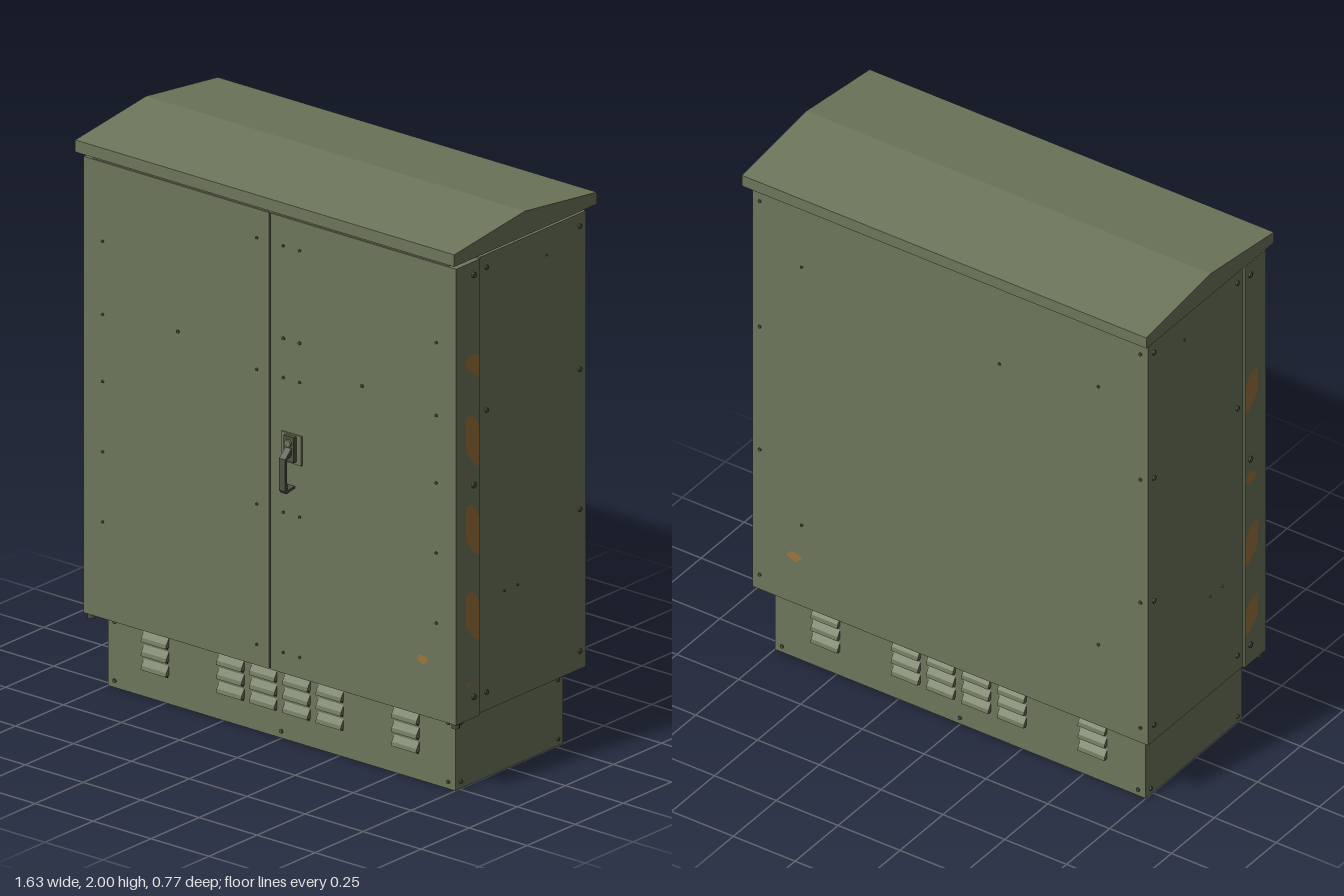
import * as THREE from 'three';

const mat = (name, color) => Object.assign(new THREE.MeshStandardMaterial({ color }), { name });

export function createModel() {
  const green = mat('olive green paint', 0x6d765b);
  const steel = mat('dark olive hardware', 0x4c5140);
  const dark = mat('dark gap', 0x25271e);
  const rust = mat('rust orange', 0xa0743c);

  const cabinet = new THREE.Group();
  cabinet.name = 'cabinet';
  const add = (name, geometry, material, parent = cabinet) => {
    const mesh = new THREE.Mesh(geometry, material);
    mesh.name = name;
    parent.add(mesh);
    return mesh;
  };
  // Box given by its lower and upper bounds
  const box = (name, [x0, x1], [y0, y1], [z0, z1], material = green, parent = cabinet) => {
    const mesh = add(name, new THREE.BoxGeometry(x1 - x0, y1 - y0, z1 - z0), material, parent);
    mesh.position.set((x0 + x1) / 2, (y0 + y1) / 2, (z0 + z1) / 2);
    return mesh;
  };
  // Extrude a (z, y) profile along x, centred on x = 0
  const profileAlongX = (points, width) => {
    const shape = new THREE.Shape(points.map(([z, y]) => new THREE.Vector2(-z, y)));
    return new THREE.ExtrudeGeometry(shape, { depth: width, bevelEnabled: false })
      .translate(0, 0, -width / 2).rotateY(Math.PI / 2);
  };

  // Main shell
  box('plinth', [-0.75, 0.75], [0, 0.27], [-0.29, 0.27]);
  box('body', [-0.8, 0.8], [0.27, 1.895], [-0.348, 0.203]);
  box('neck', [-0.77, 0.77], [1.88, 1.915], [-0.31, 0.325]);
  box('doorGap', [-0.796, 0.796], [0.275, 1.885], [0.2, 0.318], dark);
  add('roof', profileAlongX(
    [[0.358, 1.912], [0.358, 1.955], [-0.01, 2], [-0.383, 1.955], [-0.383, 1.912]], 1.635), green);

  // Double doors, with a hinge foot at each outer lower corner
  for (const s of [-1, 1]) {
    const side = s < 0 ? 'right' : 'left';
    box(side + 'Door', s < 0 ? [-0.804, -0.004] : [0.004, 0.804], [0.265, 1.892], [0.208, 0.332]);
    const foot = add(side + 'HingeFoot', new THREE.CylinderGeometry(0.014, 0.014, 0.025, 10), steel);
    foot.position.set(s * 0.786, 0.259, 0.312);
  }

  // Louvred vents on front and back of the plinth
  const hood = profileAlongX([[-0.002, 0], [0.018, 0], [0.014, 0.014], [-0.002, 0.038]], 0.108);
  const slot = new THREE.BoxGeometry(0.1, 0.008, 0.004);
  for (const s of [-1, 1]) {
    const vents = new THREE.Group();
    vents.name = s > 0 ? 'frontVents' : 'backVents';
    vents.position.z = s > 0 ? 0.27 : -0.29;
    if (s < 0) vents.rotation.y = Math.PI;
    cabinet.add(vents);
    for (const x of [-0.54, -0.215, -0.073, 0.07, 0.214, 0.54]) {
      for (const y of [0.1, 0.15, 0.2]) {
        add('louvre', hood, green, vents).position.set(x, y, 0);
        add('louvreSlot', slot, dark, vents).position.set(x, y - 0.004, 0);
      }
    }
  }

  // Swing handle on the left door
  const handle = new THREE.Group();
  handle.name = 'handle';
  handle.position.set(0.098, 0, 0.332);
  cabinet.add(handle);
  box('handlePlate', [-0.043, 0.043], [1.025, 1.13], [0, 0.006], green, handle);
  box('handleHousing', [-0.022, 0.022], [1.035, 1.125], [0.004, 0.02], steel, handle);
  const lock = add('lock', new THREE.CylinderGeometry(0.013, 0.013, 0.012, 16).rotateX(Math.PI / 2), green, handle);
  lock.position.set(0, 1.102, 0.022);
  add('grip', profileAlongX([[0.01, 1.085], [0.022, 1.085], [0.053, 1.055], [0.053, 0.94], [0.046, 0.93],
    [0.003, 0.938], [0.003, 0.946], [0.042, 0.942], [0.044, 1.05], [0.01, 1.065]], 0.026), steel, handle);

  // Bolts: each list holds pairs on one face, turned to face outwards
  const boltShape = new THREE.CylinderGeometry(1, 1, 1, 8).rotateX(Math.PI / 2);
  const bolts = (name, toPosition, angle, pairs, radius = 0.006) => {
    for (const [a, b] of pairs) {
      const bolt = add(name, boltShape, steel);
      bolt.position.set(...toPosition(a, b));
      bolt.rotation.y = angle;
      bolt.scale.set(radius, radius, 0.01);
    }
  };
  const grid = (as, bs) => as.flatMap(a => bs.map(b => [a, b]));
  const front = (x, y) => [x, y, 0.332];
  bolts('doorRivet', front, 0, grid([-0.055, 0.06, 0.13], [0.34, 0.84, 1.32, 1.79]), 0.005);
  bolts('doorRivet', front, 0, grid([-0.72, 0.72], [0.61, 0.86, 1.11, 1.35, 1.61]), 0.005);
  bolts('doorRivet', front, 0, [[-0.395, 1.37], [0.4, 1.375], [0.06, 1.46], [0.13, 1.46]]);
  bolts('backBolt', (x, y) => [x, y, -0.348], Math.PI, grid([-0.77, 0.77], [0.33, 0.84, 1.34, 1.85]));
  bolts('backBolt', (x, y) => [x, y, -0.348], Math.PI,
    [[-0.6, 0.6], [0.6, 0.6], [-0.6, 1.65], [0.6, 1.65], [-0.2, 1.58]], 0.005);
  for (const s of [-1, 1]) {
    const angle = s * Math.PI / 2;
    bolts('sideBolt', (z, y) => [s * 0.8, y, z], angle,
      [...grid([-0.315, 0.17], [0.335, 1.34, 1.85]), [-0.315, 0.84]], 0.009);
    bolts('sideRivet', (z, y) => [s * 0.8, y, z], angle, [[-0.14, 1.8], [0.08, 0.67], [0.01, 0.67]], 0.004);
    bolts('hingeBolt', (z, y) => [s * 0.804, y, z], angle, [[0.24, 0.34], [0.24, 1.095], [0.24, 1.845]], 0.011);
    bolts('plinthBolt', (z, y) => [s * 0.75, y, z], angle, grid([-0.262, 0.242], [0.025, 0.235]), 0.007);
    bolts('plinthBolt', (x, y) => [x, y, s > 0 ? 0.27 : -0.29], s > 0 ? 0 : Math.PI,
      [...grid([-0.72, 0.72], [0.025, 0.235]), [0, 0.025]], 0.007);
  }

  // Rust patches: outlines of (z, y) on the door edges, (x, y) on front and back
  const patch = (points, position, angle) => {
    const shape = new THREE.Shape(points.map(p => new THREE.Vector2(...p)));
    const mesh = add('rustPatch', new THREE.ShapeGeometry(shape), rust);
    mesh.position.set(...position);
    mesh.rotation.y = angle;
  };
  const edgePatch = (s, points) =>
    patch(points.map(([z, y]) => [-s * z, y]), [s * 0.8055, 0, 0], s * Math.PI / 2);
  const streak = (y, h) => [[0.283, y + h * 0.97], [0.255, y + h], [0.235, y + h * 0.92],
    [0.209, y + h * 0.68], [0.209, y], [0.235, y + h * 0.06], [0.283, y + h * 0.36]];
  const speck = (x, y, w, h) => [[x - w, y], [x - w * 0.4, y + h], [x + w * 0.6, y + h * 0.7],
    [x + w, y], [x + w * 0.2, y - h], [x - w * 0.7, y - h * 0.6]];
  edgePatch(1, [[0.283, 1.55], [0.265, 1.563], [0.225, 1.56], [0.209, 1.545], [0.209, 1.47],
    [0.235, 1.485], [0.283, 1.525]]);
  for (const [y, h] of [[1.155, 0.195], [0.84, 0.19], [0.535, 0.185]]) edgePatch(1, streak(y, h));
  edgePatch(1, speck(0.268, 0.39, 0.012, 0.008));
  for (const [y, h] of [[1.29, 0.16], [0.67, 0.16], [0.39, 0.14]]) edgePatch(-1, streak(y, h));
  edgePatch(-1, speck(0.24, 1.02, 0.03, 0.03));
  patch(speck(0.66, 0.465, 0.023, 0.017), [0, 0, 0.3335], 0);
  patch(speck(-0.63, 0.46, 0.03, 0.019), [0, 0, -0.3495], Math.PI);

  return cabinet;
}
